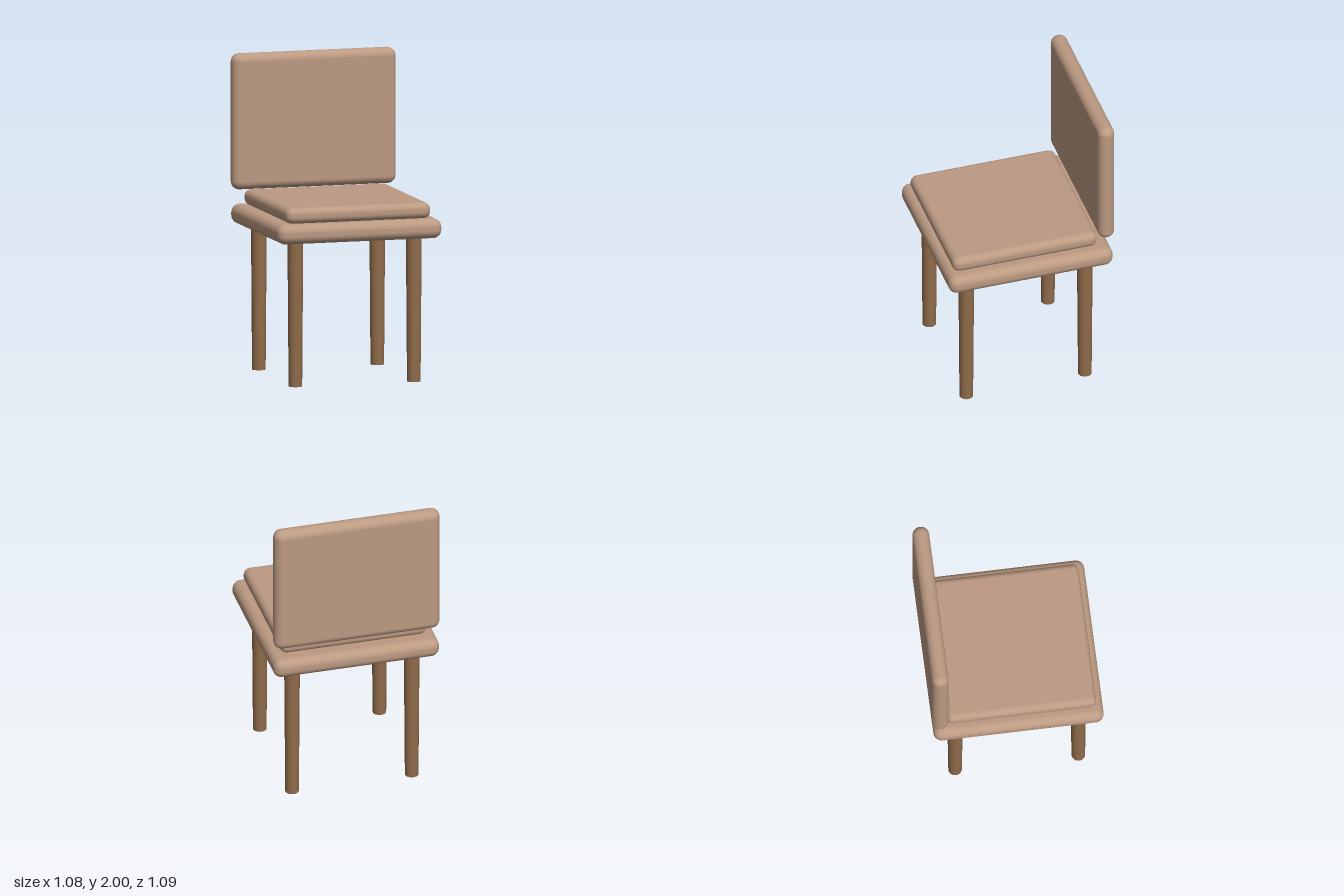
import * as THREE from 'three';
import { RoundedBoxGeometry } from 'three/addons/geometries/RoundedBoxGeometry.js';

export function createModel() {
  const chair = new THREE.Group();
  chair.name = 'chair';

  const upholstery = new THREE.MeshStandardMaterial({ color: 0xbc9a82 });
  upholstery.name = 'tan upholstery';
  const wood = new THREE.MeshStandardMaterial({ color: 0x8f6b4a });
  wood.name = 'brown wood';

  const add = (name, geometry, material, x, y, z) => {
    const mesh = new THREE.Mesh(geometry, material);
    mesh.name = name;
    mesh.position.set(x, y, z);
    chair.add(mesh);
  };
  const pad = (name, w, h, d, radius, y, z) =>
    add(name, new RoundedBoxGeometry(w, h, d, 5, radius), upholstery, 0, y, z);

  // Seat base, cushion and floating backrest
  pad('seatBase', 1.08, 0.125, 1.08, 0.054, 0.982, 0.005);
  pad('seatCushion', 0.952, 0.1, 0.952, 0.043, 1.095, 0.028);
  pad('backrest', 1.08, 0.865, 0.106, 0.052, 1.5675, -0.492);

  // Four slightly tapered round legs, set into the seat base
  const legHeight = 0.95;
  const legGeometry = new THREE.CylinderGeometry(0.05, 0.043, legHeight, 24);
  for (const [side, x] of [['Left', 0.39], ['Right', -0.39]]) {
    add('front' + side + 'Leg', legGeometry, wood, x, legHeight / 2, 0.397);
    add('back' + side + 'Leg', legGeometry, wood, x, legHeight / 2, -0.385);
  }

  return chair;
}
